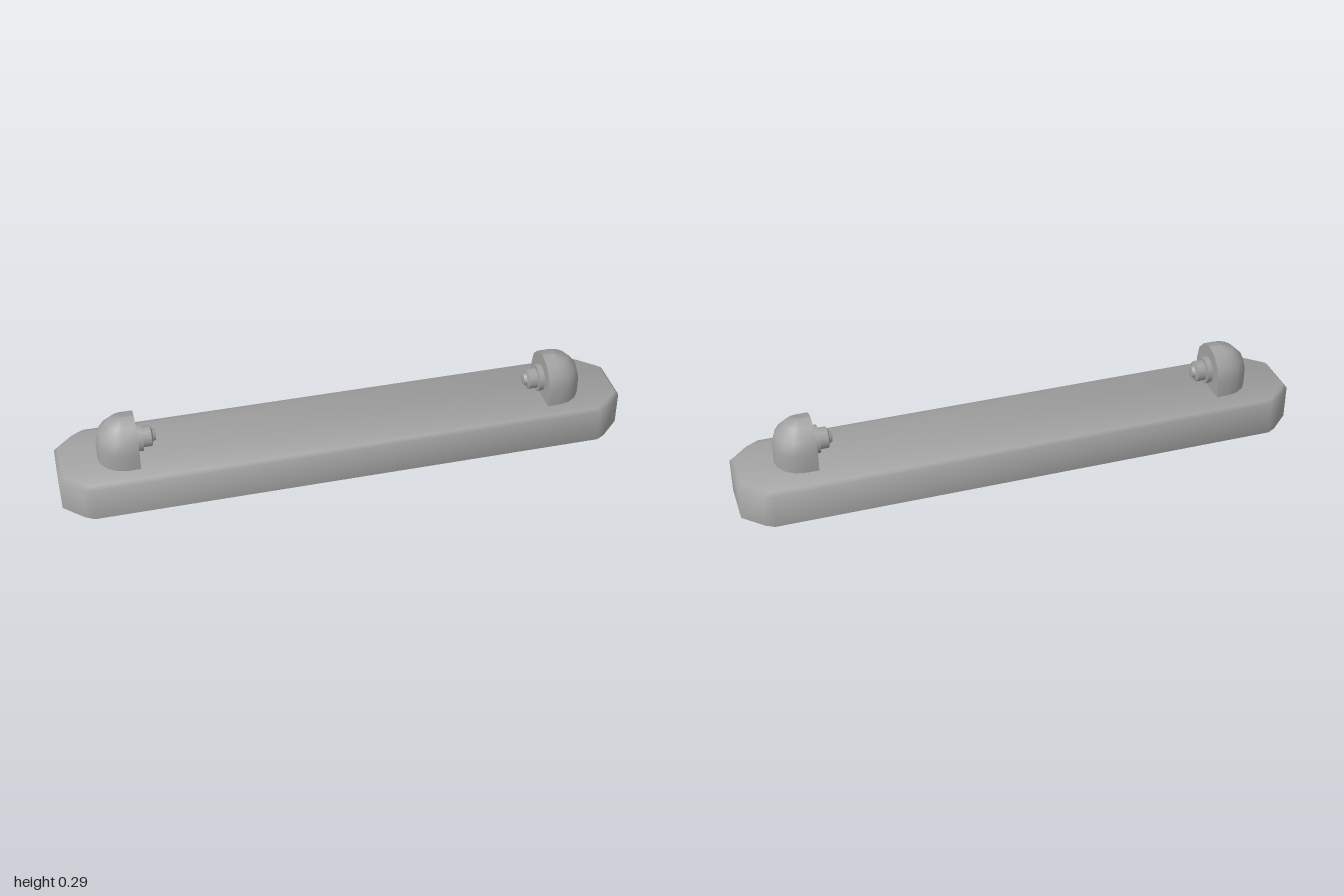
import * as THREE from 'three';

const material = new THREE.MeshStandardMaterial({ color: 0xa1a1a1, side: THREE.DoubleSide });

function mesh(name, geometry) {
  const m = new THREE.Mesh(geometry, material);
  m.name = name;
  return m;
}

// Smooth normals in which every face counts equally, whatever its size
function smoothNormals(points, index) {
  const normals = points.map(() => new THREE.Vector3());
  const triangle = new THREE.Triangle(), n = new THREE.Vector3();
  for (let i = 0; i < index.length; i += 3) {
    const corners = index.slice(i, i + 3);
    triangle.set(...corners.map(c => new THREE.Vector3(...points[c])));
    if (triangle.getArea() < 1e-9) continue;
    triangle.getNormal(n);
    corners.forEach(c => normals[c].add(n));
  }
  return normals.flatMap(v => v.normalize().toArray());
}

// Skin stacked rows of points, counter-clockwise from above; optional extra faces
function skin(rows, closed, extra = []) {
  const n = rows[0].length, index = [];
  for (let j = 0; j < rows.length - 1; j++) {
    for (let i = 0; i < (closed ? n : n - 1); i++) {
      const k = (i + 1) % n, a = j * n, b = a + n;
      index.push(a + i, a + k, b + k, a + i, b + k, b + i);
    }
  }
  index.push(...extra);
  const points = rows.flat();
  const g = new THREE.BufferGeometry();
  g.setAttribute('position', new THREE.Float32BufferAttribute(points.flat(), 3));
  g.setAttribute('normal', new THREE.Float32BufferAttribute(smoothNormals(points, index), 3));
  g.setIndex(index);
  return g;
}

// Hollow bar with cut corners, open underneath
function createBase() {
  const quarter = [[0.9, 0.167], [0.93, 0.15], [1, 0.083]];
  const right = [...quarter, ...quarter.map(([x, z]) => [x, -z]).reverse()];
  const outline = [...right, ...right.map(([x, z]) => [-x, z]).reverse()];
  const ring = (y, sx, sz) => outline.map(([x, z]) => [x * sx, y, z * sz]);
  const rows = [ring(0, 1, 1), ring(0.122, 1, 1), ring(0.135, 0.987, 0.93)];
  const cap = [], s = 2 * outline.length;
  for (let i = 0; i < 5; i++) {
    cap.push(s + 11 - i, s + i, s + i + 1, s + 11 - i, s + i + 1, s + 10 - i);
  }
  return mesh('base', skin(rows, true, cap));
}

// Half-domed holder whose flat face looks to -x, with a stepped pin
function createHolder(name) {
  const group = new THREE.Group();
  group.name = name;
  const R = 0.094, depth = 0.043, centre = 0.198, bottom = 0.124;

  const profile = [[R, bottom]];
  for (let j = 0; j <= 3; j++) {
    const t = j * Math.PI / 6;
    profile.push([R * Math.cos(t), centre + R * Math.sin(t)]);
  }
  const rows = profile.map(([r, y]) => {
    const row = [[-depth, y, r]];
    for (let i = 0; i <= 8; i++) {
      const phi = i * Math.PI / 8;
      row.push([r * Math.sin(phi), y, r * Math.cos(phi)]);
    }
    return [...row, [-depth, y, -r]];
  });
  group.add(mesh('holderDome', skin(rows, false)));

  const arch = [...profile, ...profile.slice(0, -1).map(([r, y]) => [-r, y]).reverse()];
  const face = mesh('holderFace', new THREE.ShapeGeometry(
    new THREE.Shape(arch.map(([r, y]) => new THREE.Vector2(r, y)))));
  face.rotation.y = -Math.PI / 2;
  face.position.x = -depth;
  group.add(face);

  // Collar, shaft and tapered tip
  const steps = [[0.049, 0], [0.049, 0.02], [0.037, 0.02], [0.037, 0.051],
    [0.022, 0.056], [0.018, 0.066], [0, 0.068]];
  for (let i = 0; i < steps.length - 1; i++) {
    const pin = mesh('pin', new THREE.LatheGeometry(
      [steps[i], steps[i + 1]].map(([r, y]) => new THREE.Vector2(r, y)), 12));
    pin.rotation.z = Math.PI / 2;
    pin.position.set(-depth, centre, 0);
    group.add(pin);
  }
  return group;
}

export function createModel() {
  const model = new THREE.Group();
  model.name = 'holderBar';
  model.add(createBase());
  for (const side of [1, -1]) {
    const holder = createHolder(side > 0 ? 'leftHolder' : 'rightHolder');
    holder.position.set(side * 0.767, 0, 0.011);
    if (side < 0) holder.rotation.y = Math.PI;
    model.add(holder);
  }
  return model;
}
